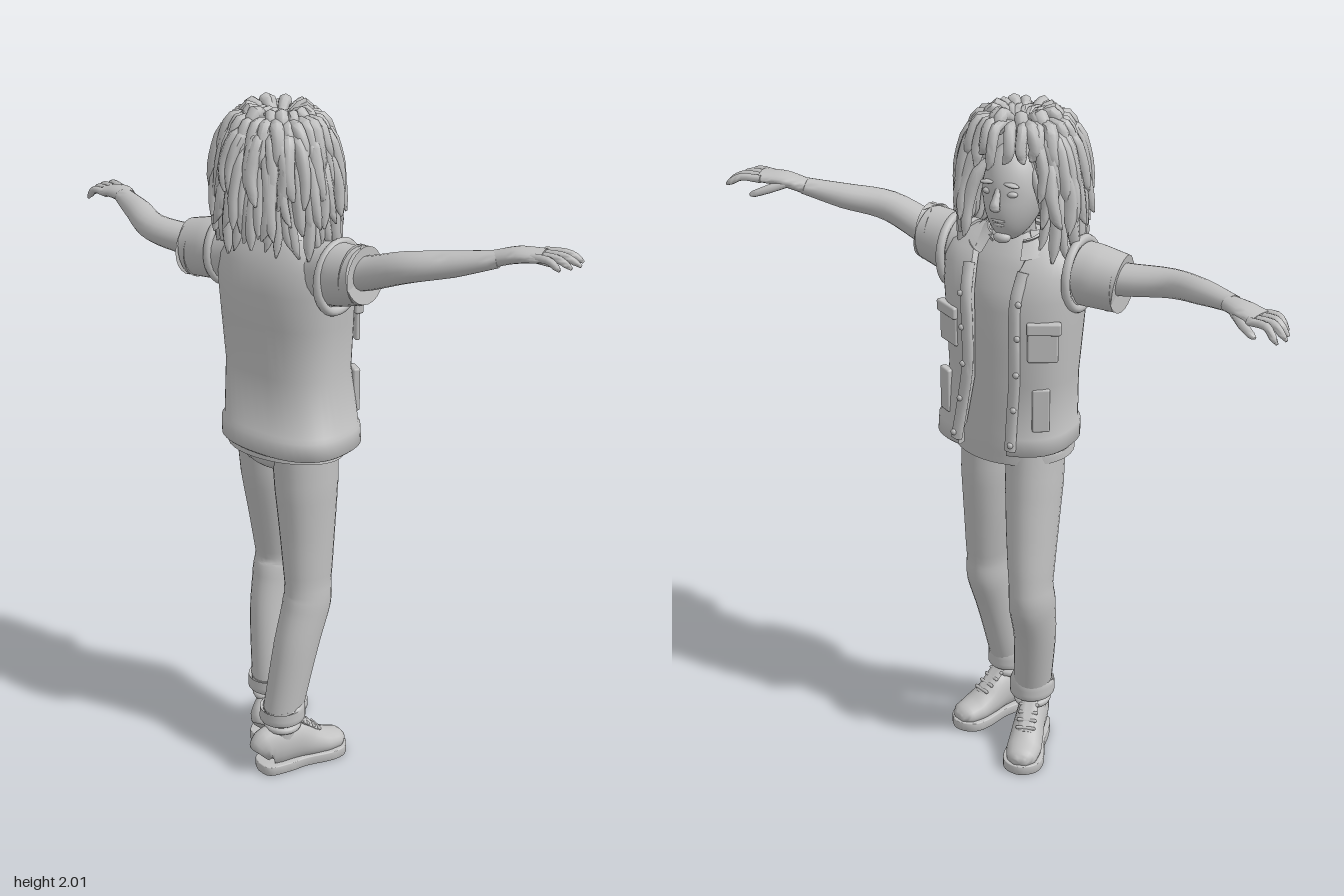
import * as THREE from 'three';
import { mergeGeometries, toCreasedNormals } from 'three/addons/utils/BufferGeometryUtils.js';
import { RoundedBoxGeometry } from 'three/addons/geometries/RoundedBoxGeometry.js';

const V = (x, y, z) => new THREE.Vector3(x, y, z);
const lerp = THREE.MathUtils.lerp;

// Skin a list of closed rings (counter-clockwise about the travel direction)
function loft(rings, caps = true) {
  const n = rings[0].length, pos = [], idx = [];
  rings.forEach(r => r.forEach(p => pos.push(p.x, p.y, p.z)));
  for (let i = 0; i < rings.length - 1; i++) for (let j = 0; j < n; j++) {
    const a = i * n + j, b = i * n + (j + 1) % n;
    idx.push(a, b, a + n, b, b + n, a + n);
  }
  if (caps) [0, rings.length - 1].forEach(i => {
    const c = rings[i].reduce((s, p) => s.add(p), V(0, 0, 0)).divideScalar(n);
    const k = pos.length / 3;
    pos.push(c.x, c.y, c.z);
    for (let j = 0; j < n; j++) {
      const a = i * n + j, b = i * n + (j + 1) % n;
      if (i) idx.push(a, b, k); else idx.push(b, a, k);
    }
  });
  const g = new THREE.BufferGeometry();
  g.setAttribute('position', new THREE.Float32BufferAttribute(pos, 3));
  g.setIndex(idx);
  return toCreasedNormals(g, 0.95);
}

// Smooth tube through [x, y, z, radius across, radius along up]
function limb(pts, up, sides = 18, steps = 5) {
  const curve = new THREE.CatmullRomCurve3(pts.map(p => V(p[0], p[1], p[2])), false, 'catmullrom');
  const total = (pts.length - 1) * steps, rings = [];
  for (let i = 0; i <= total; i++) {
    const u = i / total, f = u * (pts.length - 1), k = Math.min(Math.floor(f), pts.length - 2);
    const ra = lerp(pts[k][3], pts[k + 1][3], f - k), rb = lerp(pts[k][4], pts[k + 1][4], f - k);
    const p = curve.getPoint(u), t = curve.getTangent(u);
    const side = up.clone().cross(t).normalize(), v = t.clone().cross(side);
    rings.push(Array.from({ length: sides }, (_, j) => {
      const a = j / sides * Math.PI * 2;
      return p.clone().addScaledVector(side, ra * Math.cos(a)).addScaledVector(v, rb * Math.sin(a));
    }));
  }
  return loft(rings);
}

// Point on a rounded-box body outline; angle 0 is the chest
const sq = v => Math.sign(v) * Math.abs(v) ** 0.8;
const around = ([y, cx, cz, rx, rz], a, inset = 0, tilt = 0) =>
  V(cx + (rx - inset) * sq(Math.cos(a)), y - tilt * Math.cos(a), cz - (rz - inset) * sq(Math.sin(a)));

// Open-fronted cloth: rows are [y, cx, cz, rx, rz, half opening, thickness]
function openBand(rows, tilt = 0) {
  const N = 40;
  return loft(rows.map(r => {
    const ring = [];
    for (const inner of [0, 1]) for (let i = 0; i <= N; i++) {
      const u = inner ? 1 - i / N : i / N;
      ring.push(around(r, lerp(r[5], Math.PI * 2 - r[5], u), inner * r[6], tilt));
    }
    return ring;
  }), false);
}

export function createModel() {
  const root = new THREE.Group();
  const grey = new THREE.MeshStandardMaterial({ color: 0xc0c0c0 });
  grey.name = 'clay grey';
  const X = V(1, 0, 0), Y = V(0, 1, 0);
  const add = (name, geo, parent = root) => {
    const m = new THREE.Mesh(geo, grey);
    m.name = name;
    parent.add(m);
    return m;
  };
  const blob = (name, x, y, z, a, b, c) => {
    const m = add(name, new THREE.SphereGeometry(1, 16, 12));
    m.position.set(x, y, z);
    m.scale.set(a, b, c);
    return m;
  };

  // Shirt body
  add('shirt', limb([[-.005, 1, .016, .183, .14], [0, 1.06, .015, .18, .14], [.02, 1.3, 0, .165, .125],
    [.018, 1.48, 0, .17, .125], [.01, 1.58, -.005, .16, .1], [0, 1.66, -.01, .07, .06]], X, 36));

  // Sleeveless jacket
  const rows = [[1.03, .005, .028, .155, .2, .3, 0], [1.035, .005, .028, .16, .205, .3, .02], [1.085, .005, .026, .16, .203, .3, .02],
    [1.095, .008, .025, .152, .197, .3, .02], [1.25, .025, 0, .14, .185, .28, .02], [1.4, .023, -.003, .146, .195, .25, .02],
    [1.5, .02, -.003, .148, .203, .25, .02], [1.57, .015, -.003, .13, .205, .27, .02], [1.61, .01, -.003, .105, .19, .36, .02],
    [1.64, .003, -.006, .08, .145, .5, .02], [1.665, 0, -.01, .06, .09, .6, .02], [1.67, 0, -.01, .05, .08, .6, 0]];
  add('jacket', openBand(rows));
  add('collar', openBand([[1.6, .01, -.012, .07, .085, .5, 0], [1.61, .01, -.012, .08, .095, .5, .012], [1.665, .012, -.012, .075, .085, .5, .012],
    [1.68, .012, -.012, .088, .098, .5, .012], [1.64, .015, -.012, .12, .135, .42, .012], [1.636, .015, -.012, .115, .13, .42, 0]], .03));
  const rowAt = y => {
    const k = Math.max(1, rows.findIndex(r => r[0] >= y)), a = rows[k - 1], b = rows[k];
    return a.map((v, i) => lerp(v, b[i], (y - a[0]) / (b[0] - a[0])));
  };
  for (const s of [-1, 1]) {
    // Front edge strips, buttons and pockets
    const on = (y, a, inset = 0) => around(rowAt(y), s * a, inset);
    const strip = [1.05, 1.15, 1.28, 1.4, 1.5, 1.58].map(y => {
      const p = on(y, rowAt(y)[5] + .06, .003);
      return [p.x, y, p.z, .018, .012];
    });
    add('frontStrip', limb(strip, X, 10));
    for (const y of [1.07, 1.18, 1.29, 1.4, 1.5]) {
      const p = on(y, .36, -.008);
      blob('button', p.x, y, p.z, .007, .009, .009);
    }
    const patch = (name, y, a, h, w, d, turn) => {
      const m = add(name, new RoundedBoxGeometry(d, h, w, 2, .006));
      m.position.copy(on(y, a));
      m.rotation.y = s * turn;
    };
    patch('chestPocket', 1.38, .8, .1, .085, .014, .5);
    patch('pocketFlap', 1.43, .8, .035, .095, .026, .5);
    patch('lowerPocket', 1.18, .85, .13, .05, .022, .55);
    // Armhole hem
    const hole = add('armholeHem', new THREE.TorusGeometry(.092, .013, 8, 32));
    hole.position.set(0, 1.555, s * .198);
    hole.scale.set(1, 1.06, 1);
  }

  // Arms, sleeves and hands; the model's left is -z
  const arms = [
    { n: 'right', s: 1, sleeve: [[-.005, 1.56, .15, .08, .09], [-.012, 1.57, .22, .083, .088], [-.017, 1.585, .3, .075, .078]],
      arm: [[-.01, 1.575, .17, .06, .06], [-.015, 1.59, .29, .053, .048], [-.013, 1.638, .43, .046, .043], [.035, 1.662, .55, .04, .036], [.08, 1.688, .66, .03, .023]],
      palm: [[.08, 1.688, .65, .03, .022], [.1, 1.706, .71, .04, .021], [.12, 1.712, .775, .046, .015]], drop: -.02 },
    { n: 'left', s: -1, sleeve: [[-.005, 1.56, -.15, .08, .09], [-.017, 1.55, -.23, .083, .09], [-.025, 1.538, -.31, .075, .083]],
      arm: [[-.015, 1.56, -.18, .06, .06], [-.02, 1.553, -.3, .053, .046], [-.033, 1.564, -.45, .046, .04], [.02, 1.58, -.57, .04, .034], [.075, 1.588, -.68, .03, .022]],
      palm: [[.075, 1.588, -.67, .03, .021], [.098, 1.588, -.72, .04, .02], [.112, 1.58, -.775, .046, .015]], drop: -.032 }];
  for (const { n, s, sleeve, arm, palm, drop } of arms) {
    add(n + 'Sleeve', limb(sleeve, Y, 24));
    const [hx, hy, hz] = sleeve[2];
    add(n + 'SleeveHem', limb([[hx, hy, hz - s * .03, .078, .083], [hx, hy, hz, .078, .083]], Y, 24, 1));
    add(n + 'Arm', limb(arm, Y));
    add(n + 'Palm', limb(palm, Y));
    const [px, py, pz] = palm[2];
    for (let i = 0; i < 4; i++) {
      const o = (i - 1.5) * .025, len = [.065, .08, .088, .075][i];
      add(n + 'Finger', limb([[px + o * .9, py, pz - s * .02, .012, .012], [px + o * 1.1 + .008, py + .003, pz + s * len * .45, .012, .011],
        [px + o * 1.25 + .017, py + drop * .5, pz + s * len * .8, .01, .01], [px + o * 1.3 + .02, py + drop, pz + s * len, .004, .004]], Y, 8, 3));
    }
    const [tx, ty, tz] = palm[1];
    add(n + 'Thumb', limb([[tx + .015, ty - .005, tz - s * .02, .014, .014], [tx + .05, ty - .02, tz + s * .02, .013, .013],
      [tx + .073, ty - .033, tz + s * .055, .01, .01], [tx + .078, ty - .037, tz + s * .068, .004, .004]], Y, 8, 3));
  }

  // Trousers with rolled cuffs, and shoes
  add('trouserSeat', limb([[0, 1.05, .015, .165, .125], [.005, 1, .013, .163, .118], [.01, .97, .012, .12, .09]], X, 28));
  const legs = [
    { n: 'right', turn: -.36, pts: [[-.01, 1.04, .09, .085, .11], [-.007, .9, .095, .083, .105], [-.01, .75, .102, .074, .09], [-.02, .6, .113, .062, .078],
      [-.028, .53, .115, .065, .082], [-.07, .4, .11, .062, .075], [-.117, .19, .097, .057, .062]] },
    { n: 'left', turn: .33, pts: [[.01, 1.04, -.065, .08, .105], [.03, .9, -.07, .08, .1], [.06, .75, -.08, .072, .088], [.088, .6, -.092, .061, .077],
      [.082, .53, -.093, .064, .082], [.045, .4, -.082, .06, .072], [.003, .19, -.05, .056, .06]] }];
  for (const { n, turn, pts } of legs) {
    add(n + 'TrouserLeg', limb(pts, X, 24));
    const [ax, , az] = pts[6];
    const cuff = add(n + 'Cuff', limb([[ax - .002, .222, az, .056, .06], [ax, .214, az, .066, .07], [ax, .175, az, .067, .071], [ax, .165, az, .058, .062]], X, 24, 3));
    cuff.rotation.z = 0;
    add(n + 'Ankle', limb([[ax, .2, az, .042, .045], [ax, .1, az, .042, .045]], X));

    const shoe = new THREE.Group();
    shoe.name = n + 'Shoe';
    shoe.position.set(ax, 0, az);
    shoe.rotation.y = turn;
    root.add(shoe);
    // Upper: sections from heel to toe
    add('upper', limb([[-.075, .06, 0, .025, .035], [-.06, .075, 0, .042, .065], [-.02, .083, 0, .046, .073], [.04, .08, 0, .046, .07],
      [.09, .062, 0, .05, .052], [.14, .048, 0, .053, .038], [.185, .042, 0, .044, .03], [.207, .037, 0, .02, .015]], Y, 20, 4), shoe);
    add('ankleCollar', new THREE.TorusGeometry(.045, .011, 8, 24).rotateX(Math.PI / 2).translate(0, .145, 0), shoe);
    add('tongue', limb([[.035, .172, 0, .025, .007], [.065, .138, 0, .028, .01], [.12, .093, 0, .024, .01]], Y, 10), shoe);
    for (let i = 0; i < 4; i++)
      add('lace', new THREE.CapsuleGeometry(.0055, .05, 3, 6).rotateX(Math.PI / 2).translate(.055 + i * .02, .15 - i * .015, 0), shoe);
    const outline = new THREE.Shape();
    outline.setFromPoints(new THREE.SplineCurve([[-.08, 0], [-.065, .04], [0, .048], [.06, .046], [.14, .058], [.19, .046], [.213, 0],
      [.19, -.046], [.14, -.058], [.06, -.046], [0, -.048], [-.065, -.04], [-.08, 0]].map(p => new THREE.Vector2(...p))).getPoints(48));
    const sole = new THREE.ExtrudeGeometry(outline, { depth: .024, bevelSize: .003, bevelThickness: .003, bevelSegments: 2 });
    add('sole', toCreasedNormals(sole.rotateX(-Math.PI / 2).translate(0, .005, 0), .8), shoe);
  }

  // Neck, head and face
  add('neck', limb([[0, 1.58, -.01, .055, .055], [.02, 1.66, -.015, .045, .048], [.035, 1.73, -.02, .045, .05]], X));
  const skull = new THREE.SphereGeometry(1, 36, 28), sp = skull.attributes.position;
  for (let i = 0; i < sp.count; i++) {
    const x = sp.getX(i), y = sp.getY(i), z = sp.getZ(i), low = Math.max(0, -y);
    sp.setXYZ(i, .05 + x * .1 + low * .025, 1.785 + y * .135, -.02 + z * .086 * (1 - .22 * low));
  }
  skull.computeVertexNormals();
  add('head', skull);
  add('nose', limb([[.142, 1.81, -.02, .008, .006], [.155, 1.785, -.02, .011, .01], [.164, 1.763, -.02, .016, .013], [.15, 1.752, -.02, .009, .005]], X, 10));
  blob('upperLip', .141, 1.722, -.02, .012, .006, .024);
  blob('lowerLip', .138, 1.71, -.02, .012, .007, .02);
  blob('chin', .124, 1.668, -.02, .02, .016, .025);
  for (const s of [-1, 1]) {
    const z = -.02 + s * .036;
    blob('eye', .134, 1.797, z, .012, .009, .017);
    blob('brow', .137, 1.823, z, .012, .006, .024).rotation.x = s * .12;
    blob('ear', .03, 1.78, -.02 + s * .088, .02, .03, .01);
  }

  // Hair: a scalp mass covered by layered locks
  blob('scalp', -.025, 1.825, -.018, .125, .14, .14);
  let seed = 7;
  const rnd = () => (seed = (seed * 16807) % 2147483647) / 2147483647;
  const locks = [];
  // [count, start height, shoulder height, tip height, spread]
  for (const [count, y0, y1, tip, spread] of [[36, 1.88, 1.8, 1.625, .93], [36, 1.93, 1.86, 1.69, 1], [32, 1.955, 1.91, 1.77, .97], [26, 1.965, 1.945, 1.85, .84], [14, 1.965, 1.97, 1.915, .58]]) {
    for (let i = 0; i < count; i++) {
      const a = (i + rnd() * .8) / count * Math.PI * 2, c = Math.cos(a), s = Math.sin(a);
      const front = c > .76;
      if (front && tip < 1.8) continue;
      const w = .013 + rnd() * .006, k = spread * (.94 + rnd() * .1), end = (front ? Math.max(tip, 1.86) : tip) + (rnd() - .4) * .05;
      const at = (r, y, turn = 0, q = 1) => {
        const b = a + turn;
        return [-.003 + Math.cos(b) * r * .168, y, -.015 + Math.sin(b) * r * .185, w * q, w * q];
      };
      const sway = (rnd() - .5) * .22;
      locks.push(limb([at(k * .35, y0, 0, .7), at(k * .78, y1 + .02, sway * .3, 1.15), at(k * .95, lerp(y1, end, .4), sway, 1.1),
        at(k * (front ? .98 : 1), lerp(y1, end, .8), sway * .4, .9), at(k * 1.05, end, -sway * .3, .2)], V(-s, 0, c), 7, 3));
    }
  }
  // Tuft on the crown
  for (let i = 0; i < 5; i++)
    locks.push(limb([[.02, 1.955, -.02 + i * .012 - .03, .014, .014], [-.02, 1.982, -.05 + i * .02, .014, .014], [-.085 + i * .01, 1.985, -.07 + i * .03, .004, .004]], Y, 7, 3));
  add('hairLocks', mergeGeometries(locks));
  return root;
}
